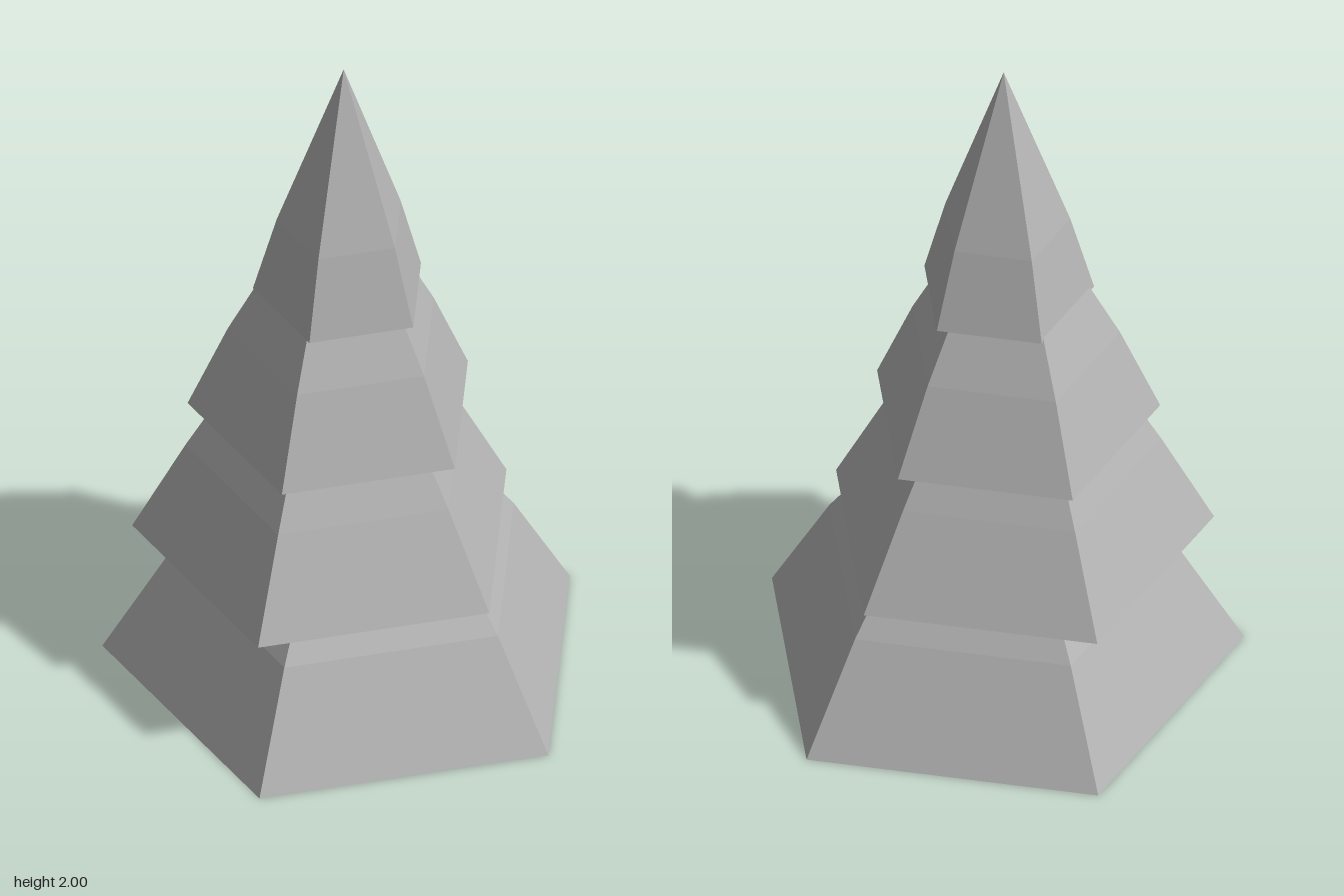
import * as THREE from 'three';

// One entry per tier of branches, bottom to top:
// centre x/z, base height, base radius, bend height and radius, tip height
const TIERS = [
  { name: 'lowestTier', x: -0.065, z: 0, y: 0, r: 0.687, bendY: 0.32, bendR: 0.508, tip: 1.03 },
  { name: 'lowerTier', x: -0.108, z: 0.035, y: 0.417, r: 0.55, bendY: 0.7, bendR: 0.405, tip: 1.42 },
  { name: 'upperTier', x: -0.11, z: 0.013, y: 0.828, r: 0.412, bendY: 1.09, bendR: 0.302, tip: 1.68 },
  { name: 'topTier', x: -0.09, z: 0.017, y: 1.241, r: 0.247, bendY: 1.48, bendR: 0.182, tip: 2 },
];

// Five-sided spire with one bend in its slope
function spireGeometry({ y, r, bendY, bendR, tip }) {
  const profile = [[r, y], [bendR, bendY], [0, tip]].map(([px, py]) => new THREE.Vector2(px, py));
  const geometry = new THREE.LatheGeometry(profile, 5, Math.PI / 2).toNonIndexed();
  geometry.computeVertexNormals(); // faceted sides
  return geometry;
}

// Flat pentagon closing the tier from below
function undersideGeometry({ y, r }) {
  return new THREE.CircleGeometry(r, 5).rotateX(Math.PI / 2).translate(0, y, 0);
}

export function createModel() {
  const tree = new THREE.Group();
  tree.name = 'tree';
  const foliage = new THREE.MeshStandardMaterial({ color: 0xb4b4b4 });
  foliage.name = 'foliageGrey';
  const shade = new THREE.MeshStandardMaterial({ color: 0x707070 });
  shade.name = 'undersideGrey';

  for (const tier of TIERS) {
    const branches = new THREE.Mesh(spireGeometry(tier), foliage);
    branches.name = 'branches';
    const underside = new THREE.Mesh(undersideGeometry(tier), shade);
    underside.name = 'underside';

    const group = new THREE.Group();
    group.name = tier.name;
    group.position.set(tier.x, 0, tier.z);
    group.add(branches, underside);
    tree.add(group);
  }
  return tree;
}
